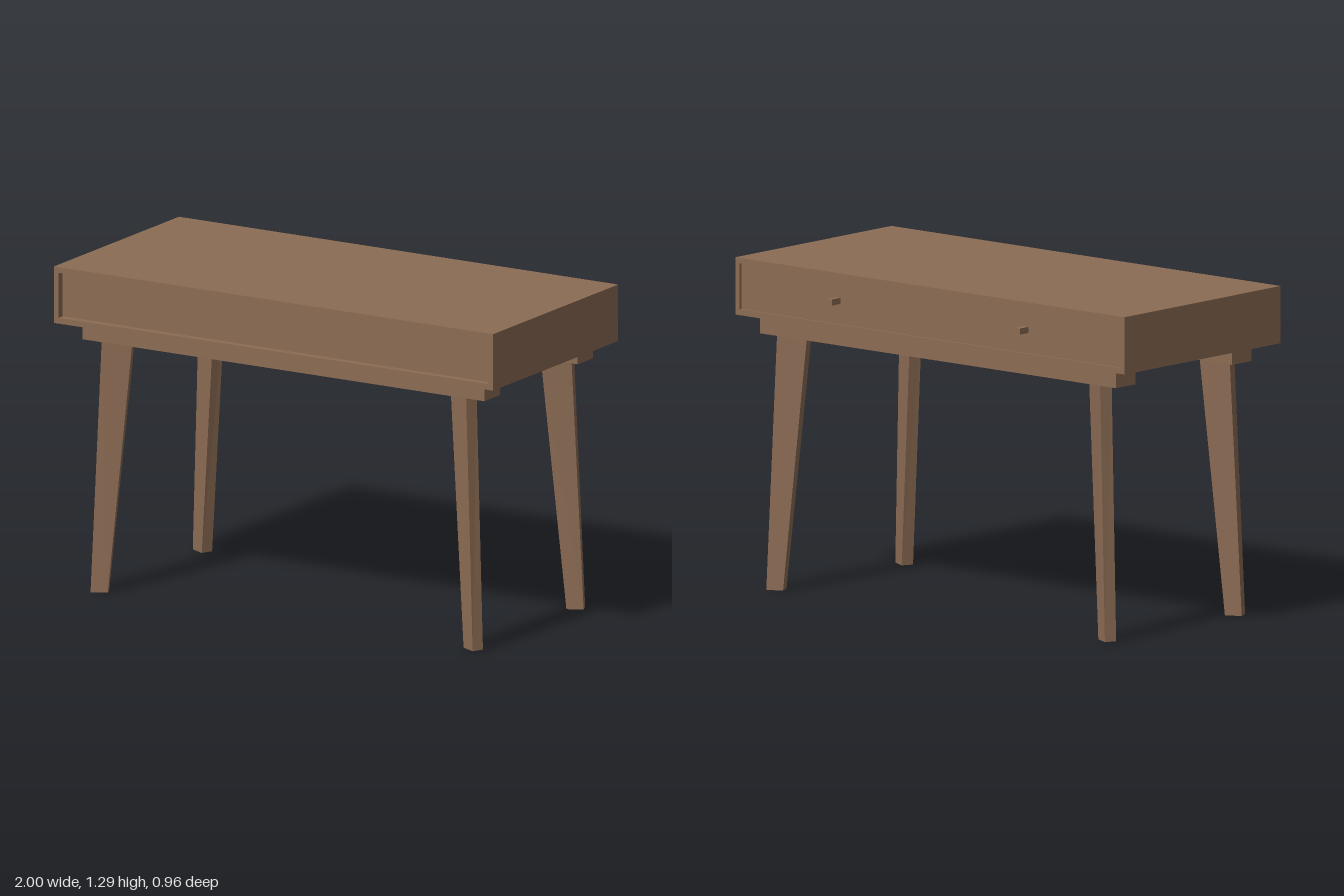
import * as THREE from 'three';

const Z_MID = 0.007; // centre line of the underframe

// Tapered, splayed leg: a turned rectangle at the floor and a larger one at the rail
function legGeometry(sx, sz) {
  const foot = [[0.87, 0.411], [0.89, 0.368], [0.83, 0.338], [0.81, 0.381]];
  const head = [[0.83, 0.394], [0.848, 0.346], [0.743, 0.29], [0.725, 0.338]];
  const low = foot.map(([x, z]) => [x * sx, 0, z * sz]);
  const high = head.map(([x, z]) => [x * sx, 1.0, z * sz]);
  const pos = [];
  const quad = (a, b, c, d) => {
    const q = sx * sz > 0 ? [a, b, c, a, c, d] : [a, c, b, a, d, c];
    q.forEach((p) => pos.push(...p));
  };
  for (let i = 0; i < 4; i++) {
    const j = (i + 1) % 4;
    quad(low[i], low[j], high[j], high[i]);
  }
  quad(high[0], high[1], high[2], high[3]);
  quad(low[3], low[2], low[1], low[0]);
  const geo = new THREE.BufferGeometry();
  geo.setAttribute('position', new THREE.Float32BufferAttribute(pos, 3));
  geo.computeVertexNormals();
  return geo;
}

function rectangle(Path, x, y0, y1) {
  return new Path([[-x, y0], [x, y0], [x, y1], [-x, y1]].map(([a, b]) => new THREE.Vector2(a, b)));
}

export function createModel() {
  const desk = new THREE.Group();
  desk.name = 'desk';
  const wood = new THREE.MeshStandardMaterial({ color: 0x8c6c54 });
  wood.name = 'brown wood';

  const add = (name, geo, x = 0, y = 0, z = 0) => {
    const mesh = new THREE.Mesh(geo, wood);
    mesh.name = name;
    mesh.position.set(x, y, z);
    desk.add(mesh);
  };

  // Outer case, open through from front to back
  const outline = rectangle(THREE.Shape, 1, 1.07, 1.295);
  outline.holes.push(rectangle(THREE.Path, 0.978, 1.093, 1.273));
  add('case', new THREE.ExtrudeGeometry(outline, { depth: 0.915, bevelEnabled: false }), 0, 0, -0.437);

  // Drawer body set back from both openings
  add('drawer', new THREE.BoxGeometry(1.956, 0.18, 0.875), 0, 1.183, 0.0105);

  // Square pulls on the drawer face
  for (const x of [-0.485, 0.48]) {
    add('pull', new THREE.BoxGeometry(0.025, 0.024, 0.056), x, 1.185, -0.45);
  }

  // Rails under the case and a leg at each end
  for (const sz of [1, -1]) {
    add('rail', new THREE.BoxGeometry(1.83, 0.07, 0.113), 0, 1.035, Z_MID + sz * 0.34);
    for (const sx of [1, -1]) add('leg', legGeometry(sx, sz), 0, 0, Z_MID);
  }
  return desk;
}
